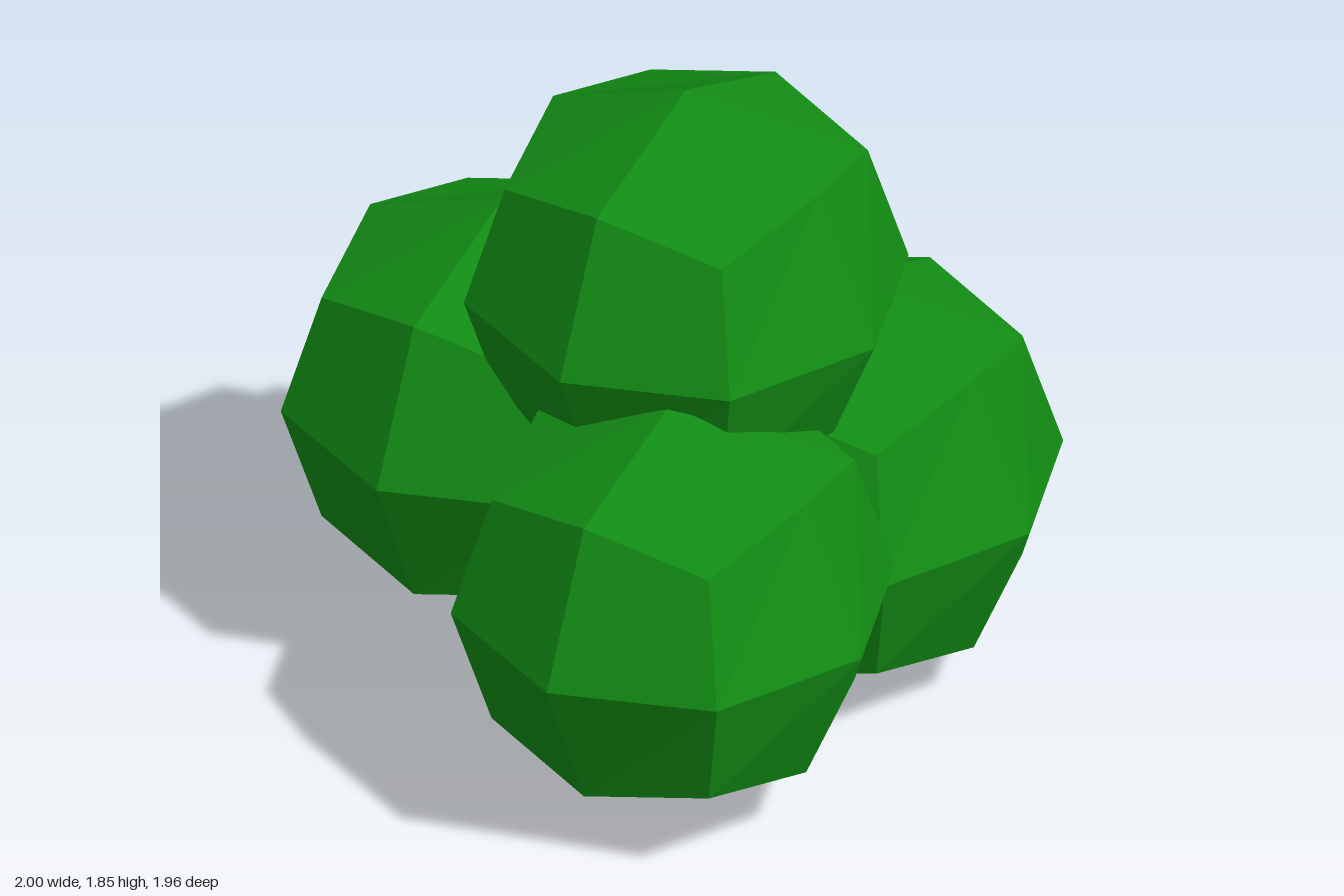
import * as THREE from 'three';

// Low-poly ball: a 2x2x2 box with every vertex pushed out to the sphere
function ballGeometry(radius) {
  const geo = new THREE.BoxGeometry(1, 1, 1, 2, 2, 2);
  const pos = geo.attributes.position;
  const v = new THREE.Vector3();
  for (let i = 0; i < pos.count; i++) {
    v.fromBufferAttribute(pos, i).setLength(radius);
    pos.setXYZ(i, v.x, v.y, v.z);
  }
  geo.computeVertexNormals();
  return geo;
}

export function createModel() {
  const group = new THREE.Group();
  group.name = 'bush';
  const material = new THREE.MeshStandardMaterial({ color: 0x128c14, flatShading: true });
  const geometry = ballGeometry(0.588);

  // Overlapping clumps of foliage
  const clumps = {
    topClump: [0.16, 1.268, -0.04],
    rightClump: [-0.412, 0.72, -0.04],
    frontClump: [0.408, 0.63, 0.39],
    backClump: [0.408, 0.59, -0.39],
  };
  for (const [name, position] of Object.entries(clumps)) {
    const mesh = new THREE.Mesh(geometry, material);
    mesh.name = name;
    mesh.position.set(...position);
    group.add(mesh);
  }
  return group;
}
